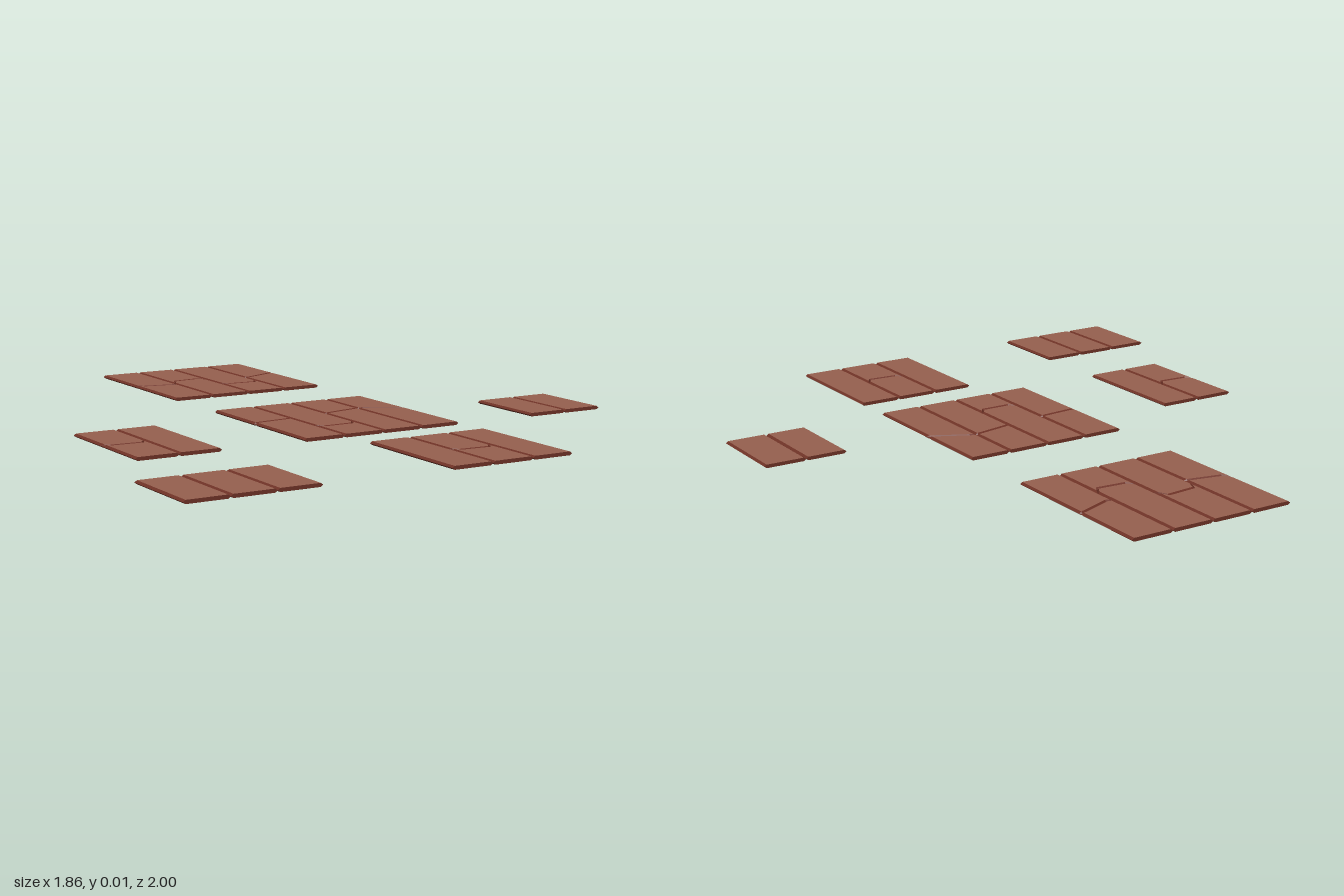
import * as THREE from 'three';

const U = 1 / 7;         // plank width
const H = 0.0115;        // plank thickness
const BEVEL = 0.008;     // bevel along plank sides
const CRACK = 0.007;     // bevel along cracks
const FLICK = 0.021;     // distance from the side where a crack turns

const wood = new THREE.MeshStandardMaterial({ color: 0x96604f, flatShading: true });
const groove = new THREE.MeshStandardMaterial({ color: 0x6e3226, flatShading: true });

// Panels in plank widths: x start, z start, z end, and one entry per plank.
// A crack lists z at: left side, left turn, right turn, right side.
const PANELS = [
  { name: 'backPanel', x: -1.5, z0: -7, z1: -3, planks: [
    [-0.745, -0.708, -0.688, -0.682], [-0.70, -0.752, -0.762, -0.715],
    [-0.64, -0.605, -0.598, -0.635], [-0.708, -0.704, -0.744, -0.75]] },
  { name: 'middlePanel', x: -1.5, z0: -1, z1: 3, planks: [
    [0.122, 0.119, 0.11, 0.107], [0.25, 0.28, 0.28, 0.25],
    [0.086, 0.081, 0.06, 0.056], [0.055, 0.06, 0.112, 0.126]] },
  { name: 'frontPanel', x: -0.5, z0: 4, z1: 7, planks: [null, [0.78, 0.81, 0.816, 0.785], null] },
  { name: 'rightPanel', x: -5.5, z0: 0, z1: 3, planks: [[0.20, 0.224, 0.23, 0.20], null] },
  { name: 'leftPanel', x: 4.5, z0: 1, z1: 3, planks: [null, null] },
  { name: 'cornerPanel', x: -6.5, z0: 5, z1: 7, planks: [null, null, null] },
];

// z of an end line at distance t from the plank's left side
function lineZ(line, t) {
  const ts = [0, FLICK, U - FLICK, U];
  const i = t < ts[1] ? 0 : t < ts[2] ? 1 : 2;
  return THREE.MathUtils.lerp(line[i], line[i + 1], (t - ts[i]) / (ts[i + 1] - ts[i]));
}

function quadMesh(points, material, name) {
  const geometry = new THREE.BufferGeometry();
  geometry.setAttribute('position', new THREE.Float32BufferAttribute(points, 3));
  geometry.computeVertexNormals();
  const mesh = new THREE.Mesh(geometry, material);
  mesh.name = name;
  return mesh;
}

// One board between two end lines: six-sided sections lofted along x
function makeBoard(x, back, front, backInset, frontInset) {
  const stations = [0, BEVEL, FLICK, U - FLICK, U - BEVEL, U];
  const last = stations.length - 1;
  const rings = stations.map((t, i) => {
    const zb = lineZ(back, t), zf = lineZ(front, t);
    const h = i === 0 || i === last ? 0 : H / 2;   // sides taper to mid height
    return [
      [zb, 0], [zb + backInset, h], [zf - frontInset, h],
      [zf, 0], [zf - frontInset, -h], [zb + backInset, -h],
    ].map(([z, y]) => [x + t, H / 2 + y, z]);
  });
  const faces = [], bevels = [];
  for (let i = 0; i < last; i++) {
    for (let k = 0; k < 6; k++) {
      const n = (k + 1) % 6;
      const a = rings[i][k], b = rings[i][n], c = rings[i + 1][n], d = rings[i + 1][k];
      const flat = (k === 1 || k === 4) && i > 0 && i < last - 1;
      (flat ? faces : bevels).push(...a, ...b, ...c, ...a, ...c, ...d);
    }
  }
  const board = new THREE.Group();
  board.name = 'plank';
  board.add(quadMesh(faces, wood, 'plankFaces'), quadMesh(bevels, groove, 'plankBevels'));
  return board;
}

export function createModel() {
  const model = new THREE.Group();
  model.name = 'floorPlanks';
  for (const p of PANELS) {
    const panel = new THREE.Group();
    panel.name = p.name;
    const back = Array(4).fill(p.z0 * U), front = Array(4).fill(p.z1 * U);
    p.planks.forEach((crack, i) => {
      const x = (p.x + i) * U;
      if (crack) {
        panel.add(makeBoard(x, back, crack, 0, CRACK), makeBoard(x, crack, front, CRACK, 0));
      } else {
        panel.add(makeBoard(x, back, front, 0, 0));
      }
    });
    model.add(panel);
  }
  return model;
}
